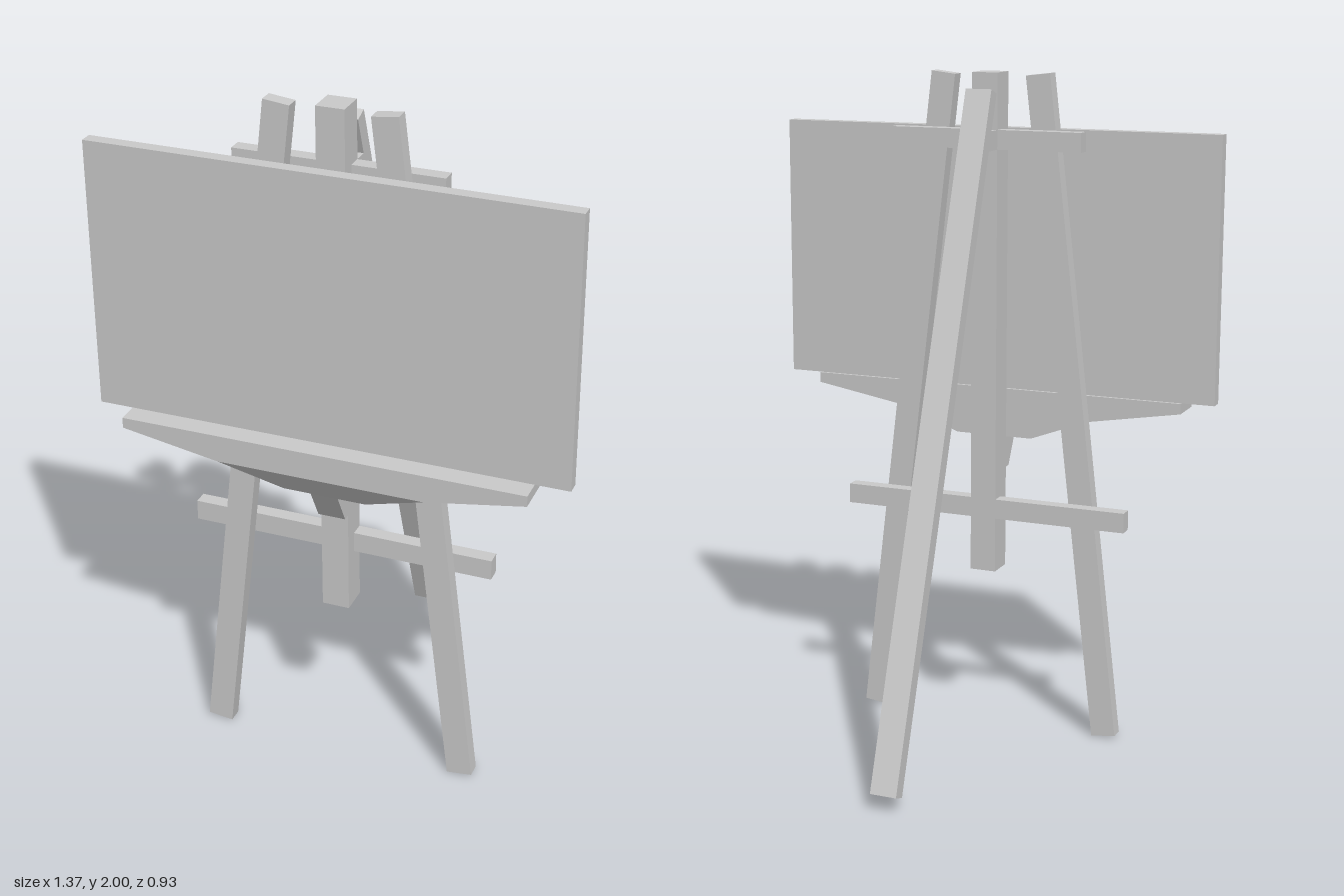
import * as THREE from 'three';

const material = new THREE.MeshStandardMaterial({ color: 0xcccccc, flatShading: true });

function add(group, name, geometry) {
  const mesh = new THREE.Mesh(geometry, material);
  mesh.name = name;
  group.add(mesh);
  return mesh;
}

// Box given by its [min, max] range on each axis
function block(group, name, [x0, x1], [y0, y1], [z0, z1]) {
  const mesh = add(group, name, new THREE.BoxGeometry(x1 - x0, y1 - y0, z1 - z0));
  mesh.position.set((x0 + x1) / 2, (y0 + y1) / 2, (z0 + z1) / 2);
  return mesh;
}

// Square-cut beam running between two end centres
function beam(group, name, from, to, width, depth) {
  const a = new THREE.Vector3(...from), b = new THREE.Vector3(...to);
  const dir = b.clone().sub(a);
  const mesh = add(group, name, new THREE.BoxGeometry(width, dir.length(), depth));
  mesh.position.copy(a).add(b).multiplyScalar(0.5);
  mesh.quaternion.setFromUnitVectors(new THREE.Vector3(0, 1, 0), dir.normalize());
  return mesh;
}

// Solid lofted through level rectangles [y, halfWidth, frontZ], top to bottom
function loft(levels, backZ) {
  const points = [], index = [];
  for (const [y, w, z] of levels) {
    points.push(-w, y, backZ, -w, y, z, w, y, z, w, y, backZ);
  }
  for (let k = 0; k < levels.length - 1; k++) {
    for (let i = 0; i < 4; i++) {
      const a = k * 4 + i, b = k * 4 + (i + 1) % 4;
      index.push(a + 4, b + 4, b, a + 4, b, a);
    }
  }
  const n = (levels.length - 1) * 4;
  index.push(0, 1, 2, 0, 2, 3, n, n + 2, n + 1, n, n + 3, n + 2);
  const indexed = new THREE.BufferGeometry();
  indexed.setAttribute('position', new THREE.Float32BufferAttribute(points, 3));
  indexed.setIndex(index);
  const geometry = indexed.toNonIndexed();
  geometry.computeVertexNormals();
  return geometry;
}

export function createModel() {
  const easel = new THREE.Group();
  easel.name = 'easel';

  const BACK = 0.268, MID = 0.31, FRONT = 0.353;

  // Canvas board
  block(easel, 'board', [-0.686, 0.686], [1.053, 1.836], [0.363, 0.401]);

  // Centre post and splayed front legs
  block(easel, 'centrePost', [-0.04, 0.04], [0.5, 2], [BACK, FRONT]);
  for (const [name, s] of [['leftLeg', 1], ['rightLeg', -1]]) {
    beam(easel, name, [s * 0.381, 0.005, (MID + FRONT) / 2],
      [s * 0.148, 1.995, (MID + FRONT) / 2], 0.075, FRONT - MID);
  }

  // Cross bars behind the legs
  block(easel, 'lowerCrossbar', [-0.447, 0.447], [0.667, 0.727], [BACK, MID]);
  block(easel, 'upperCrossbar', [-0.297, 0.297], [1.779, 1.836], [BACK, MID]);

  // Rear leg with its hinge block
  beam(easel, 'rearLeg', [0, 0.044, -0.444], [0, 1.948, 0.241], 0.08, 0.043);
  block(easel, 'hingeBlock', [-0.04, 0.04], [1.779, 1.836], [0.205, BACK]);

  // Tapered tray and the bracket under it
  add(easel, 'tray', loft([
    [1.053, 0.587, 0.465],
    [1.022, 0.587, 0.465],
    [0.973, 0.3, 0.465],
    [0.905, 0.12, 0.427],
  ], FRONT));
  add(easel, 'trayBracket', loft([
    [0.905, 0.04, 0.427],
    [0.81, 0.04, 0.375],
  ], FRONT));

  return easel;
}
